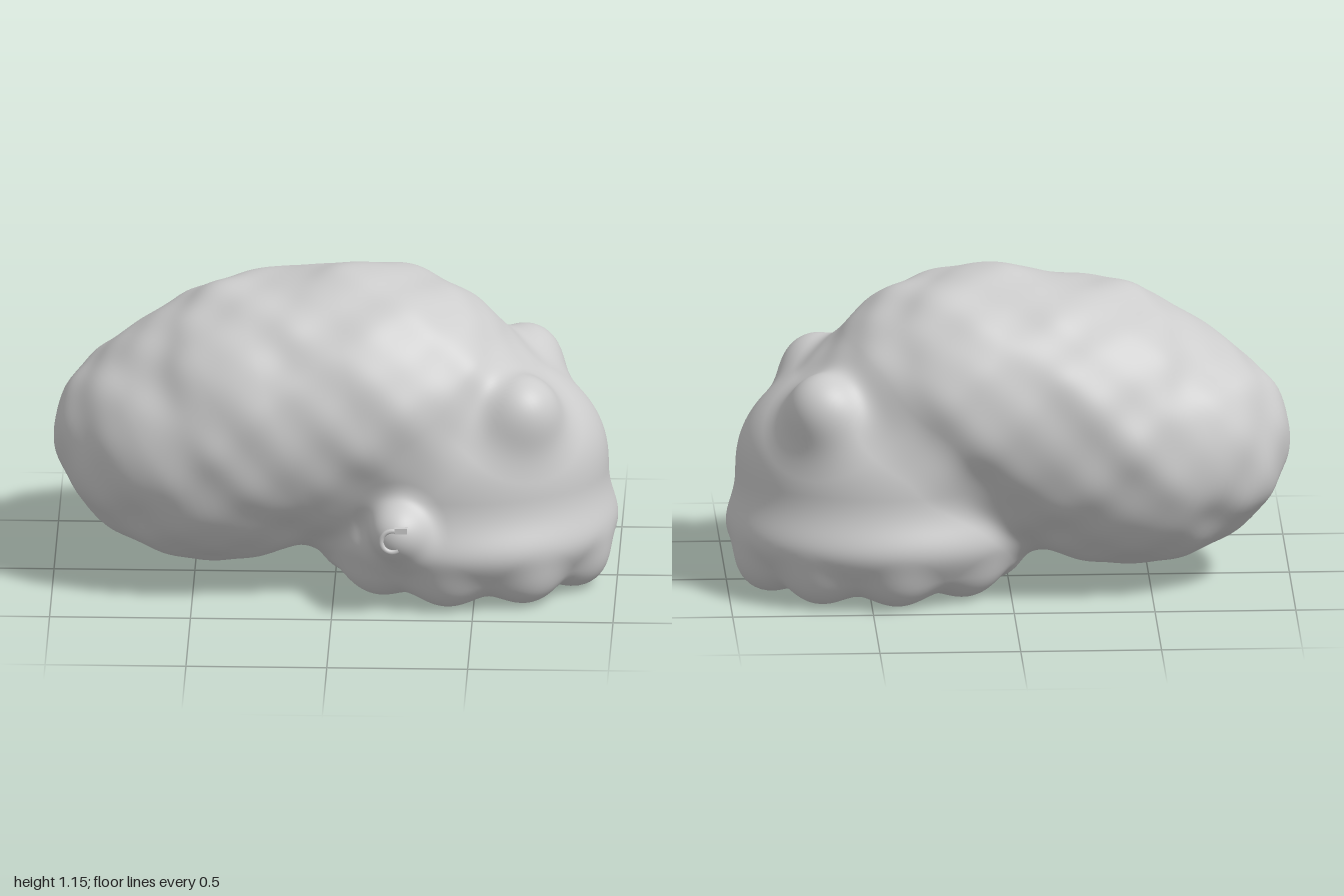
import * as THREE from 'three';

// Distance to an ellipsoid (approximate), to a sphere, and a soft union of two distances
function ellipsoid(p, c, r) {
  const x = (p.x - c[0]) / r[0], y = (p.y - c[1]) / r[1], z = (p.z - c[2]) / r[2];
  const k0 = Math.hypot(x, y, z);
  const k1 = Math.hypot(x / r[0], y / r[1], z / r[2]) + 1e-6;
  return k0 * (k0 - 1) / k1;
}
const sphere = (p, c, r) => Math.hypot(p.x - c[0], p.y - c[1], p.z - c[2]) - r;
function blend(a, b, k) {
  const h = Math.max(k - Math.abs(a - b), 0) / k;
  return Math.min(a, b) - h * h * k / 4;
}

// Nine rounded scallops around the hem of the head
const scallops = [];
for (let i = 0; i < 9; i++) {
  const a = (20 + i * 40) * Math.PI / 180;
  scallops.push([0.48 + 0.4 * Math.cos(a), 0.12, -0.03 + 0.355 * Math.sin(a)]);
}

// Large egg-shaped rear body with soft lumps
function rearBody(p) {
  let d = ellipsoid(p, [-0.42, 0.51, -0.03], [0.575, 0.44, 0.465]);
  d = blend(d, ellipsoid(p, [-0.2, 0.62, -0.03], [0.6, 0.48, 0.505]), 0.06);
  d = blend(d, ellipsoid(p, [0.09, 0.685, -0.025], [0.6, 0.455, 0.485]), 0.06);
  const large = Math.sin(13 * p.x + 1) * Math.sin(12 * p.y + 0.6) * Math.cos(11 * p.z);
  const small = Math.sin(23 * p.x + 2) * Math.cos(21 * p.y) * Math.cos(19 * p.z + 0.4);
  return d - 0.014 * large - 0.006 * small;
}

// Bell-shaped head with full shoulders, a flared rim, a scalloped hem and two knobs
function head(p) {
  let d = ellipsoid(p, [0.45, 0.3, -0.03], [0.52, 0.56, 0.465]);
  d = blend(d, ellipsoid(p, [0.45, 0.48, -0.03], [0.5, 0.32, 0.435]), 0.08);
  d = -blend(-d, p.y - 0.05, 0.08);
  d = blend(d, ellipsoid(p, [0.46, 0.22, -0.03], [0.53, 0.18, 0.505]), 0.1);
  for (const c of scallops) d = blend(d, sphere(p, c, 0.11), 0.07);
  for (const z of [0.25, -0.32]) d = blend(d, sphere(p, [0.67, 0.715, z], 0.115), 0.15);
  return d;
}

function field(p) {
  const d = blend(rearBody(p), head(p), 0.08);
  return blend(d, sphere(p, [0.235, 0.315, 0.435], 0.092), 0.09); // side nub
}

// Pushes every vertex of a sphere out to the surface and takes smooth normals from the field
function blobGeometry() {
  const geo = new THREE.SphereGeometry(1, 240, 160);
  const pos = geo.attributes.position, nor = geo.attributes.normal;
  const centre = new THREE.Vector3(0.2, 0.45, 0);
  const dir = new THREE.Vector3(), p = new THREE.Vector3(), q = new THREE.Vector3(), n = new THREE.Vector3();
  const e = 0.004;
  for (let i = 0; i < pos.count; i++) {
    dir.fromBufferAttribute(pos, i).normalize();
    // walk inwards to the outermost surface, then refine
    let lo = 1.4;
    while (lo > 0.05 && field(p.copy(centre).addScaledVector(dir, lo)) > 0) lo -= 0.04;
    let hi = lo + 0.04;
    for (let s = 0; s < 14; s++) {
      const mid = (lo + hi) / 2;
      if (field(p.copy(centre).addScaledVector(dir, mid)) > 0) hi = mid; else lo = mid;
    }
    p.copy(centre).addScaledVector(dir, lo);
    pos.setXYZ(i, p.x, p.y, p.z);
    for (const axis of ['x', 'y', 'z']) {
      q.copy(p); q[axis] += e;
      const a = field(q);
      q[axis] -= 2 * e;
      n[axis] = a - field(q);
    }
    n.normalize();
    nor.setXYZ(i, n.x, n.y, n.z);
  }
  return geo;
}

export function createModel() {
  const model = new THREE.Group();
  model.name = 'blobCreature';
  const grey = new THREE.MeshStandardMaterial({ color: 0xcccccc });
  grey.name = 'plain grey';
  const add = (name, geo, x = 0, y = 0, z = 0) => {
    const mesh = new THREE.Mesh(geo, grey);
    mesh.name = name;
    mesh.position.set(x, y, z);
    model.add(mesh);
    return mesh;
  };

  // Fused rear body and scalloped head
  add('bodyAndHead', blobGeometry());

  // Small broken ring and tab on the side nub
  const ring = add('nubRing', new THREE.TorusGeometry(0.04, 0.009, 8, 24, 4.2), 0.22, 0.31, 0.518);
  ring.rotation.z = 1.1;
  add('nubTab', new THREE.BoxGeometry(0.045, 0.02, 0.03), 0.25, 0.352, 0.513);

  // Stand on the ground, centred
  const box = new THREE.Box3().setFromObject(model);
  const mid = box.getCenter(new THREE.Vector3());
  for (const part of model.children) {
    part.position.x -= mid.x;
    part.position.y -= box.min.y;
    part.position.z -= mid.z;
  }
  return model;
}
